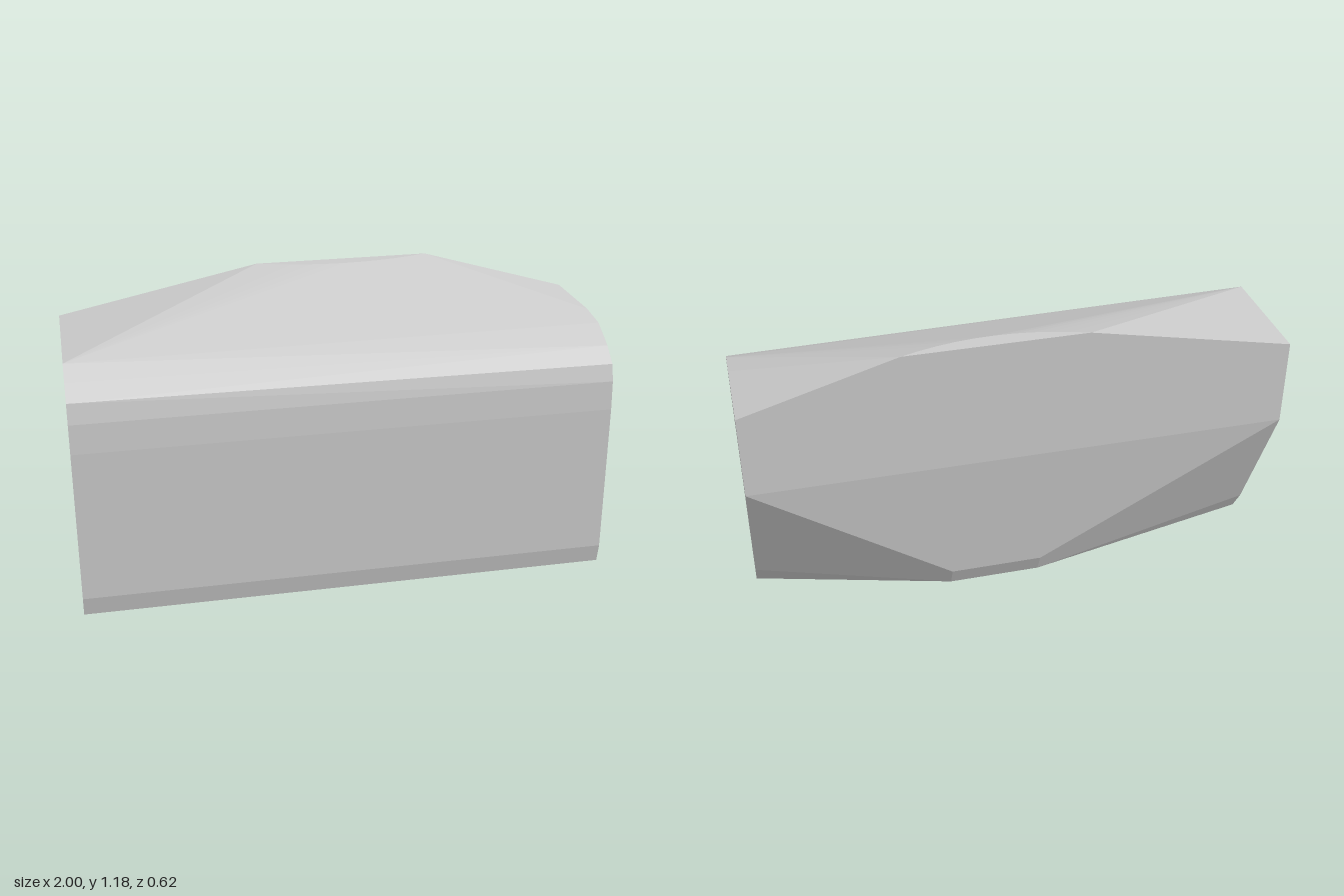
import * as THREE from 'three';
import { ConvexGeometry } from 'three/addons/geometries/ConvexGeometry.js';

export function createModel() {
  const group = new THREE.Group();
  const points = [];
  const add = (x, profile) => profile.forEach(([z, y]) => points.push(new THREE.Vector3(x, y, z)));

  // Rounded front and underside shared by both flat ends, as [z, y]
  const endLower = [
    [-0.31, 0.69], [-0.06, 0.14], [0, 0.045], [0.1, 0.004],
    [0.22, 0.023], [0.292, 0.066], [0.307, 0.14], [0.305, 0.72], [0.298, 0.83],
  ];
  add(1, [...endLower, [0.28, 0.893], [0.22, 0.945], [0.12, 1.0], [0, 1.015], [-0.31, 1.013]]);
  add(-1, [...endLower, [0.282, 0.905], [0.22, 0.958], [0.16, 1.007], [-0.31, 1.023]]);

  // Bulge low on the back, narrowing to a short straight edge
  for (const x of [-0.09, 0.26]) {
    add(x, [[-0.25, 0.14], [-0.212, 0.057], [-0.13, 0.015], [0, 0.002]]);
  }

  // Raised crown: a shallow arc along the back of the top
  const crownCentre = 0.095, crownHalf = 0.335;
  for (let i = 0; i <= 10; i++) {
    const t = i / 5 - 1;
    add(crownCentre + t * crownHalf, [[-0.25 - 0.06 * t * t, 1.18]]);
  }
  add(crownCentre - crownHalf, [[-0.31, 1.18]]);

  const body = new THREE.Mesh(
    new ConvexGeometry(points),
    new THREE.MeshStandardMaterial({ color: 0xcccccc, flatShading: true }),
  );
  body.name = 'facetedBody';
  group.add(body);
  return group;
}
